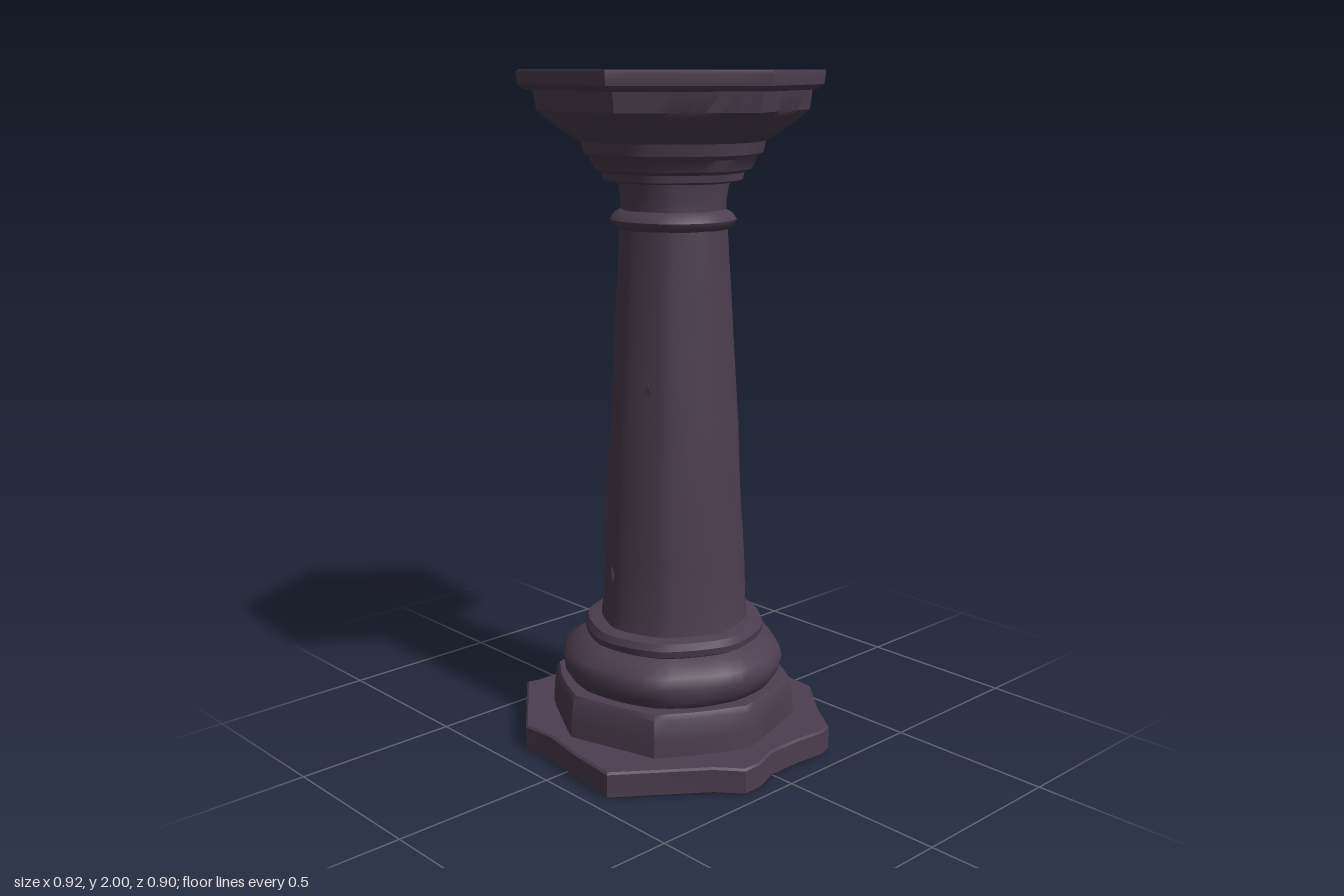
import * as THREE from 'three';
import { toCreasedNormals } from 'three/addons/utils/BufferGeometryUtils.js';

const SEGMENTS = 48;
const PHASE = 0.113; // turn of the hexagonal top

// Radius of a unit polygon in direction a, blended with a circle by amount
function polygonRadius(a, sides, amount) {
  const step = (Math.PI * 2) / sides;
  const local = (a % step) - step / 2;
  return 1 + amount * (Math.cos(step / 2) / Math.cos(local) - 1);
}

// Low, smooth unevenness of hewn stone
function wobble(a, y, size) {
  return size * (Math.sin(3 * a + y * 9) + 0.7 * Math.sin(5 * a - y * 14 + 1) + 0.5 * Math.sin(8 * a + y * 23));
}

// Closed loft through rings [y, radius, polygon amount], listed bottom to top
function loft(rings, sides, rough, crease = 0.6) {
  const pos = [], index = [], n = SEGMENTS;
  for (const [y, r, amount] of rings) {
    for (let i = 0; i < n; i++) {
      const a = (i / n) * Math.PI * 2;
      const d = r * polygonRadius(a, sides, amount) + wobble(a, y, rough);
      pos.push(d * Math.cos(a + PHASE), y, d * Math.sin(a + PHASE));
    }
  }
  const last = rings.length - 1;
  pos.push(0, rings[0][0], 0, 0, rings[last][0], 0);
  const bottom = rings.length * n, top = bottom + 1;
  for (let i = 0; i < n; i++) {
    const k = (i + 1) % n;
    for (let j = 0; j < last; j++) {
      const a = j * n + i, b = j * n + k;
      index.push(a, a + n, b, b, a + n, b + n);
    }
    index.push(bottom, i, k, top, last * n + k, last * n + i);
  }
  const g = new THREE.BufferGeometry();
  g.setAttribute('position', new THREE.Float32BufferAttribute(pos, 3));
  g.setIndex(index);
  return toCreasedNormals(g, crease);
}

export function createModel() {
  const column = new THREE.Group();
  column.name = 'column';
  const stone = new THREE.MeshStandardMaterial({ color: 0x4c3e4f });
  stone.name = 'dark purple stone';

  const add = (name, geometry, x = 0, z = 0) => {
    const mesh = new THREE.Mesh(geometry, stone);
    mesh.name = name;
    mesh.position.set(x, 0, z);
    column.add(mesh);
    return mesh;
  };

  // Broken-edged foot slab, outline as x, z
  const outline = [
    [-0.215, -0.455], [-0.15, -0.455], [0, -0.44], [0.185, -0.43], [0.32, -0.315], [0.425, -0.245],
    [0.44, -0.2], [0.43, -0.1], [0.43, 0.01], [0.46, 0.09], [0.46, 0.15], [0.39, 0.21],
    [0.21, 0.45], [0.05, 0.435], [-0.09, 0.41], [-0.195, 0.42], [-0.26, 0.37], [-0.46, 0.21],
    [-0.45, 0.17], [-0.447, 0.03], [-0.463, -0.16], [-0.445, -0.185], [-0.32, -0.31],
  ];
  const shape = new THREE.Shape(outline.map(([x, z]) => new THREE.Vector2(x, -z)));
  const slab = new THREE.ExtrudeGeometry(shape, {
    depth: 0.068, bevelThickness: 0.006, bevelSize: 0.006, bevelOffset: -0.006, bevelSegments: 1,
  });
  slab.rotateX(-Math.PI / 2).translate(0, 0.006, 0);
  add('footSlab', toCreasedNormals(slab, 0.6));

  // Eight-sided plinth
  add('plinth', loft([[0.07, 0.372, 0.8], [0.13, 0.37, 0.8], [0.19, 0.365, 0.8], [0.205, 0.355, 0.8]], 8, 0.003));

  // Rounded base moulding
  add('baseMoulding', loft([
    [0.19, 0.29, 0.3], [0.205, 0.31, 0.3], [0.235, 0.33, 0.3], [0.27, 0.337, 0.3],
    [0.3, 0.325, 0.3], [0.325, 0.285, 0.3], [0.345, 0.25, 0.3],
  ], 8, 0.004, 0.8));
  add('baseRing', loft([
    [0.335, 0.25, 0.2], [0.345, 0.268, 0.2], [0.365, 0.272, 0.2], [0.385, 0.262, 0.2], [0.392, 0.235, 0.2],
  ], 8, 0.002), 0.005);

  // Tapered shaft
  add('shaft', loft([
    [0.38, 0.224, 0.35], [0.45, 0.217, 0.4], [0.6, 0.21, 0.4], [0.8, 0.202, 0.4], [1.0, 0.19, 0.4],
    [1.2, 0.177, 0.4], [1.4, 0.166, 0.4], [1.58, 0.156, 0.35],
  ], 8, 0.0018, 0.8), 0.01, 0.004);

  // Collar and neck
  add('collar', loft([
    [1.555, 0.155, 0.2], [1.57, 0.178, 0.2], [1.585, 0.184, 0.2], [1.602, 0.172, 0.2], [1.615, 0.15, 0.2],
  ], 8, 0.0015, 0.9), 0.005);
  add('neck', loft([[1.6, 0.154, 0.3], [1.64, 0.153, 0.3], [1.7, 0.162, 0.3]], 8, 0.001), 0.005);

  // Stepped capital, round below and six-sided above
  add('capital', loft([
    [1.692, 0.185, 0], [1.698, 0.2, 0], [1.718, 0.205, 0.1], [1.728, 0.226, 0.1], [1.76, 0.24, 0.1],
    [1.772, 0.257, 0.2], [1.805, 0.265, 0.25], [1.818, 0.29, 0.4], [1.835, 0.318, 0.6],
    [1.875, 0.372, 0.9], [1.89, 0.39, 1], [1.95, 0.4, 1],
  ], 6, 0.0025, 0.5), 0.003);

  // Hexagonal top slab
  add('topSlab', loft([[1.945, 0.415, 1], [1.96, 0.436, 1], [1.992, 0.44, 1], [2.0, 0.438, 1]], 6, 0.0006, 0.5));

  // Small loose flakes on the shaft: x, y, z
  const flakes = [[0.08, 1.12, 0.172], [-0.03, 0.55, 0.206], [0.162, 1.38, 0.03]];
  flakes.forEach(([x, y, z], i) => {
    const flake = add('flake', new THREE.TetrahedronGeometry(0.02), x, z);
    flake.position.y = y;
    flake.scale.set(0.8, 1.6, 0.8);
    flake.rotation.y = i;
  });

  return column;
}
